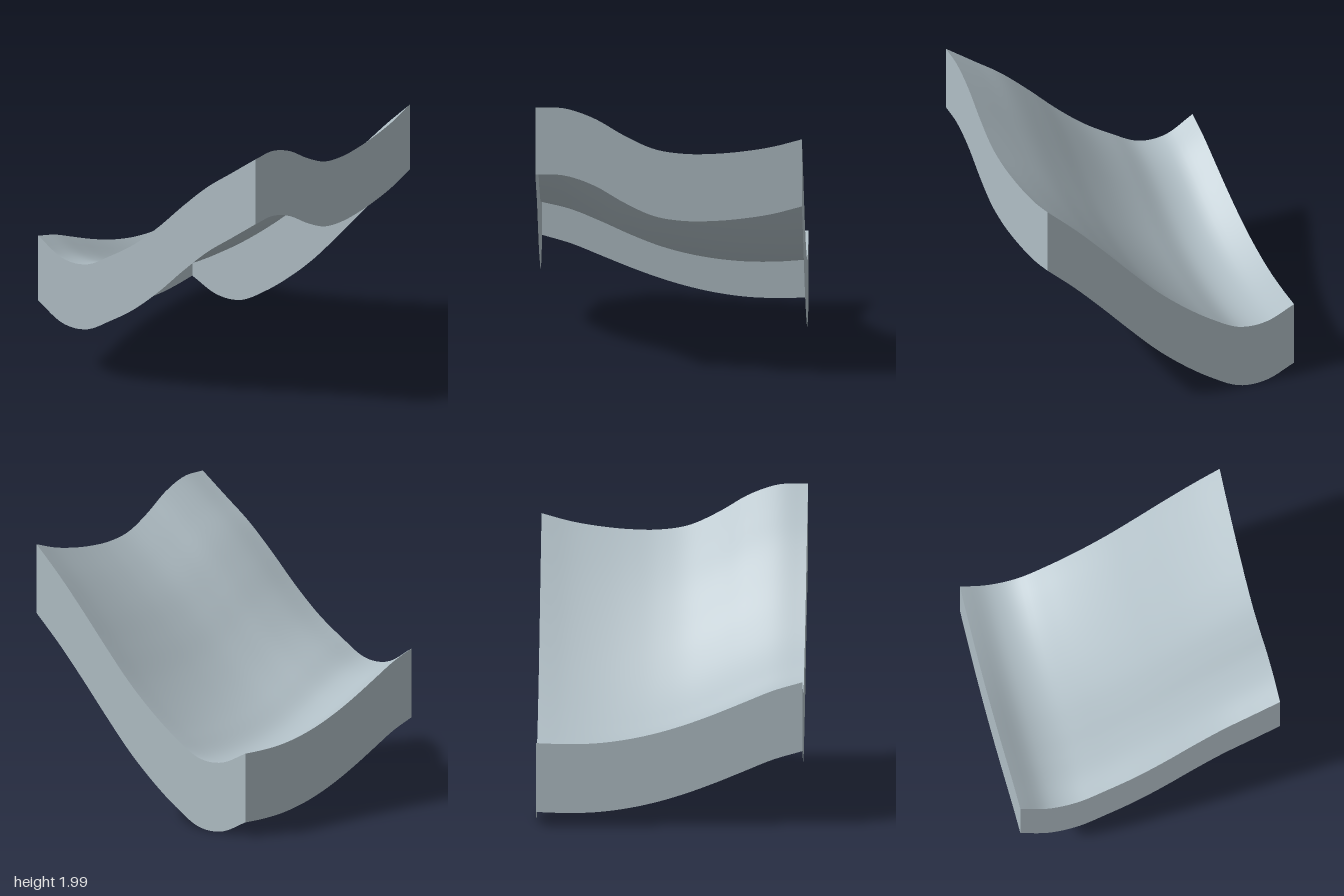
import * as THREE from 'three';

const HALF = 0.9;   // half width of the square plan
const DEPTH = 0.475; // height of the skirt walls
const N = 48;       // grid divisions per side

// Heights of the four top edges, sampled every 0.2 units from -0.9 to 0.9
const FRONT = [1.003, 0.888, 0.889, 1.0, 1.135, 1.31, 1.51, 1.695, 1.845, 1.995];
const BACK = [0.575, 0.487, 0.493, 0.605, 0.755, 0.935, 1.15, 1.375, 1.59, 1.783];
const RIGHT = [0.575, 0.569, 0.575, 0.6, 0.643, 0.703, 0.777, 0.86, 0.943, 1.003];
const LEFT = [1.783, 1.728, 1.694, 1.675, 1.674, 1.707, 1.8, 1.918, 1.988, 1.995];

// Smooth curve through evenly spaced heights, t from 0 to 1
function spline(v, t) {
  const last = v.length - 1;
  const at = (k) => (k < 0 ? 2 * v[0] - v[1] : k > last ? 2 * v[last] - v[last - 1] : v[k]);
  const i = Math.min(Math.floor(t * last), last - 1);
  const f = t * last - i;
  const [a, b, c, d] = [at(i - 1), at(i), at(i + 1), at(i + 2)];
  return b + 0.5 * f * (c - a + f * (2 * a - 5 * b + 4 * c - d + f * (3 * (b - c) + d - a)));
}

// Coons patch spanning the four edge curves
function height(u, w) {
  const mix = THREE.MathUtils.lerp;
  const alongZ = mix(spline(BACK, u), spline(FRONT, u), w);
  const alongX = mix(spline(RIGHT, w), spline(LEFT, w), u);
  const corners = mix(mix(BACK[0], BACK[9], u), mix(FRONT[0], FRONT[9], u), w);
  return alongZ + alongX - corners;
}

const point = (u, w, drop = 0) => [(u * 2 - 1) * HALF, height(u, w) - drop, (w * 2 - 1) * HALF];

// Indexed sheet of cols x rows cells; at(i, j) gives each point
function sheet(cols, rows, at) {
  const pos = [];
  const idx = [];
  for (let j = 0; j <= rows; j++) {
    for (let i = 0; i <= cols; i++) {
      pos.push(...at(i / cols, j / rows));
      if (i === cols || j === rows) continue;
      const a = j * (cols + 1) + i;
      const b = a + cols + 1;
      idx.push(a, b, a + 1, b, b + 1, a + 1);
    }
  }
  const geo = new THREE.BufferGeometry();
  geo.setAttribute('position', new THREE.Float32BufferAttribute(pos, 3));
  geo.setIndex(idx);
  geo.computeVertexNormals();
  return geo;
}

export function createModel() {
  const group = new THREE.Group();
  group.name = 'curvedPanel';
  const shell = new THREE.MeshStandardMaterial({ color: 0xb0bec5, side: THREE.DoubleSide });
  shell.name = 'blueGrey';

  const add = (name, geo) => {
    const mesh = new THREE.Mesh(geo, shell);
    mesh.name = name;
    group.add(mesh);
  };

  // Smooth sculpted top
  add('topSurface', sheet(N, N, (u, w) => point(u, w)));

  // Thin walls hanging from each edge, open underneath
  const walls = {
    frontWall: (s) => [s, 1],
    backWall: (s) => [1 - s, 0],
    leftWall: (s) => [1, 1 - s],
    rightWall: (s) => [0, s],
  };
  for (const [name, edge] of Object.entries(walls)) {
    add(name, sheet(N, 1, (s, t) => point(...edge(s), t * DEPTH)));
  }
  return group;
}
